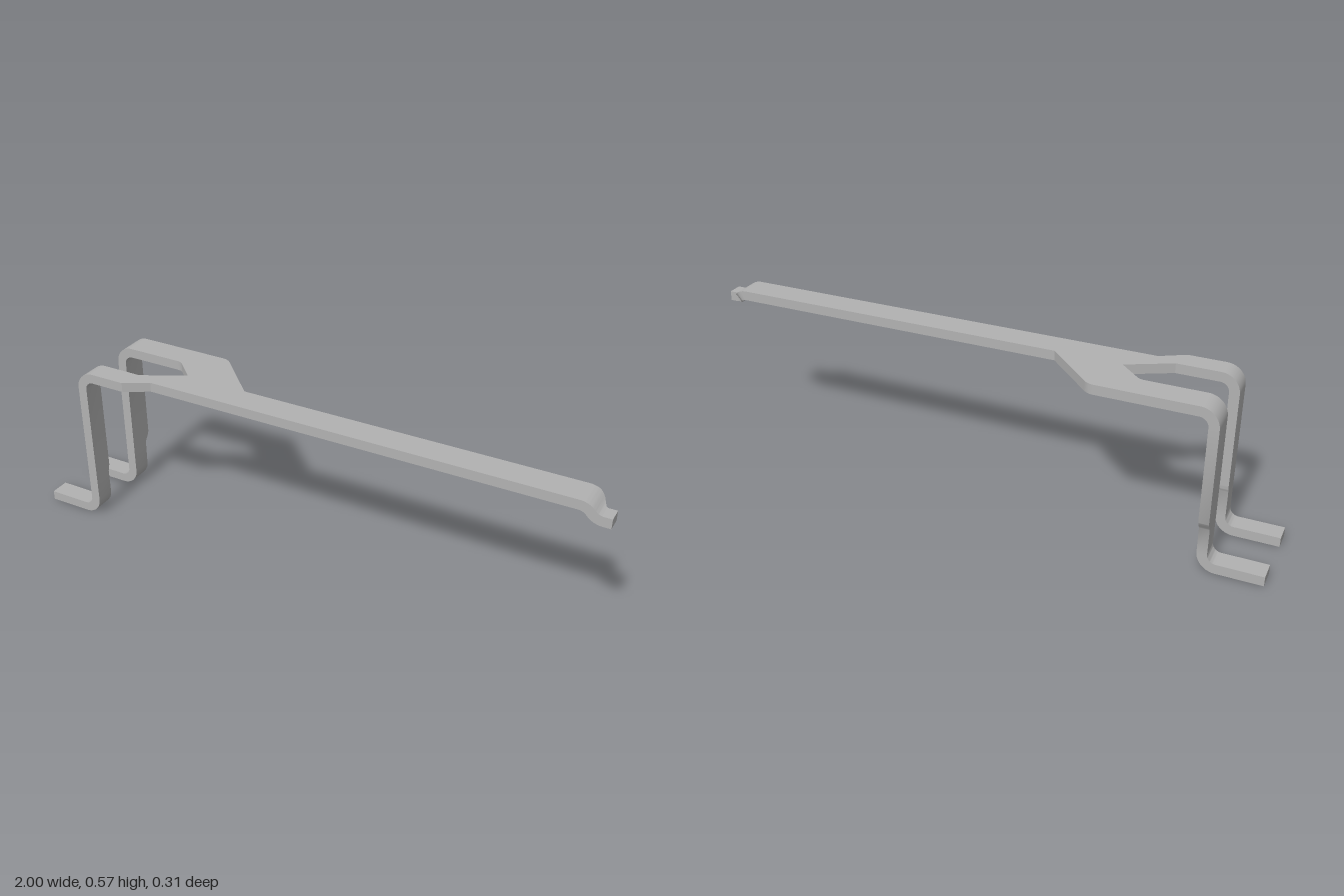
import * as THREE from 'three';
import { toCreasedNormals } from 'three/addons/utils/BufferGeometryUtils.js';

const T = 0.033;             // sheet thickness
const MID = 0.5535;          // mid height of the top plate
const smooth = (a, b, t) => THREE.MathUtils.smoothstep(t, a, b);

// Centre line made of straights [length, steps] and bends [radius, angle, steps]
function bentPath(x, y, moves) {
  let a = 0;
  const pts = [{ x, y, a }];
  for (const m of moves) {
    const n = m[m.length - 1];
    const turn = m.length === 3 ? m[1] / n : 0;
    const step = m.length === 3 ? 2 * m[0] * Math.sin(Math.abs(turn) / 2) : m[0] / n;
    for (let i = 0; i < n; i++) {
      x += step * Math.cos(a + turn / 2);
      y += step * Math.sin(a + turn / 2);
      a += turn;
      pts.push({ x, y, a });
    }
  }
  return pts;
}

// Sheet strip that follows a path; zRange gives its back and front edge at each point
function strip(path, zRange) {
  const rings = path.map((p) => {
    const [z0, z1] = zRange(p);
    const nx = -Math.sin(p.a) * T / 2, ny = Math.cos(p.a) * T / 2;
    return [
      [p.x - nx, p.y - ny, z0], [p.x + nx, p.y + ny, z0],
      [p.x + nx, p.y + ny, z1], [p.x - nx, p.y - ny, z1],
    ];
  });
  const pos = [];
  const quad = (a, b, c, d) => pos.push(...a, ...b, ...c, ...a, ...c, ...d);
  for (let i = 0; i < rings.length - 1; i++) {
    const p = rings[i], q = rings[i + 1];
    for (let k = 0; k < 4; k++) {
      const j = (k + 1) % 4;
      quad(p[k], p[j], q[j], q[k]);
    }
  }
  const s = rings[0], e = rings[rings.length - 1];
  quad(s[3], s[2], s[1], s[0]);
  quad(e[0], e[1], e[2], e[3]);
  const g = new THREE.BufferGeometry();
  g.setAttribute('position', new THREE.Float32BufferAttribute(pos, 3));
  return toCreasedNormals(g, 0.6);
}

export function createModel() {
  const group = new THREE.Group();
  const metal = new THREE.MeshStandardMaterial({ color: 0xb2b2b2 });
  metal.name = 'grey metal';
  const add = (name, geometry) => {
    const mesh = new THREE.Mesh(geometry, metal);
    mesh.name = name;
    group.add(mesh);
  };

  // Forked top plate with its long arm, drawn in x and -z
  const s = new THREE.Shape();
  s.moveTo(-0.757, -0.157);
  s.lineTo(-0.634, -0.157);
  s.lineTo(-0.553, -0.11);
  s.lineTo(0.9, -0.11);
  s.lineTo(0.9, -0.0125);
  s.lineTo(-0.25, -0.0125);
  s.lineTo(-0.405, 0.143);
  s.quadraticCurveTo(-0.419, 0.157, -0.44, 0.157);
  s.lineTo(-0.757, 0.157);
  s.lineTo(-0.757, 0.065);
  s.lineTo(-0.565, 0.065);
  s.quadraticCurveTo(-0.55, 0.065, -0.54, 0.056);
  s.lineTo(-0.473, -0.008);
  s.lineTo(-0.617, -0.083);
  s.lineTo(-0.757, -0.083);
  s.closePath();
  const plate = new THREE.ExtrudeGeometry(s, { depth: T, bevelEnabled: false, curveSegments: 6 });
  plate.rotateX(-Math.PI / 2).translate(0, MID - T / 2, 0);
  add('forkedArm', plate);

  // Two bent legs with feet, each narrowing towards the foot
  const R = 0.0465, Q = Math.PI / 2;
  const leg = bentPath(-1, T / 2, [
    [0.15, 1], [R, Q, 10], [0.087, 1], [0.04, 10], [0.317, 1], [R, -Q, 10],
  ]);
  add('frontLeg', strip(leg, (p) => [0.09 - 0.007 * smooth(0.148, 0.175, p.y), 0.157]));
  add('backLeg', strip(leg, (p) => [-0.135 - 0.022 * smooth(0.142, 0.192, p.y), -0.065]));

  // Stepped-down tip that narrows to a small tongue
  const tip = bentPath(0.9, MID, [
    [0.05, -Q / 2, 10], [0.007, 2], [0.05, Q / 2, 10], [0.0243, 2],
  ]);
  const backEdge = (x) => {
    const round = 0.018 * smooth(0.922, 0.95, x);
    return 0.0125 + round + 0.0295 * smooth(0.938, 0.968, x);
  };
  add('armTip', strip(tip, (p) => [backEdge(p.x), 0.11]));

  return group;
}
